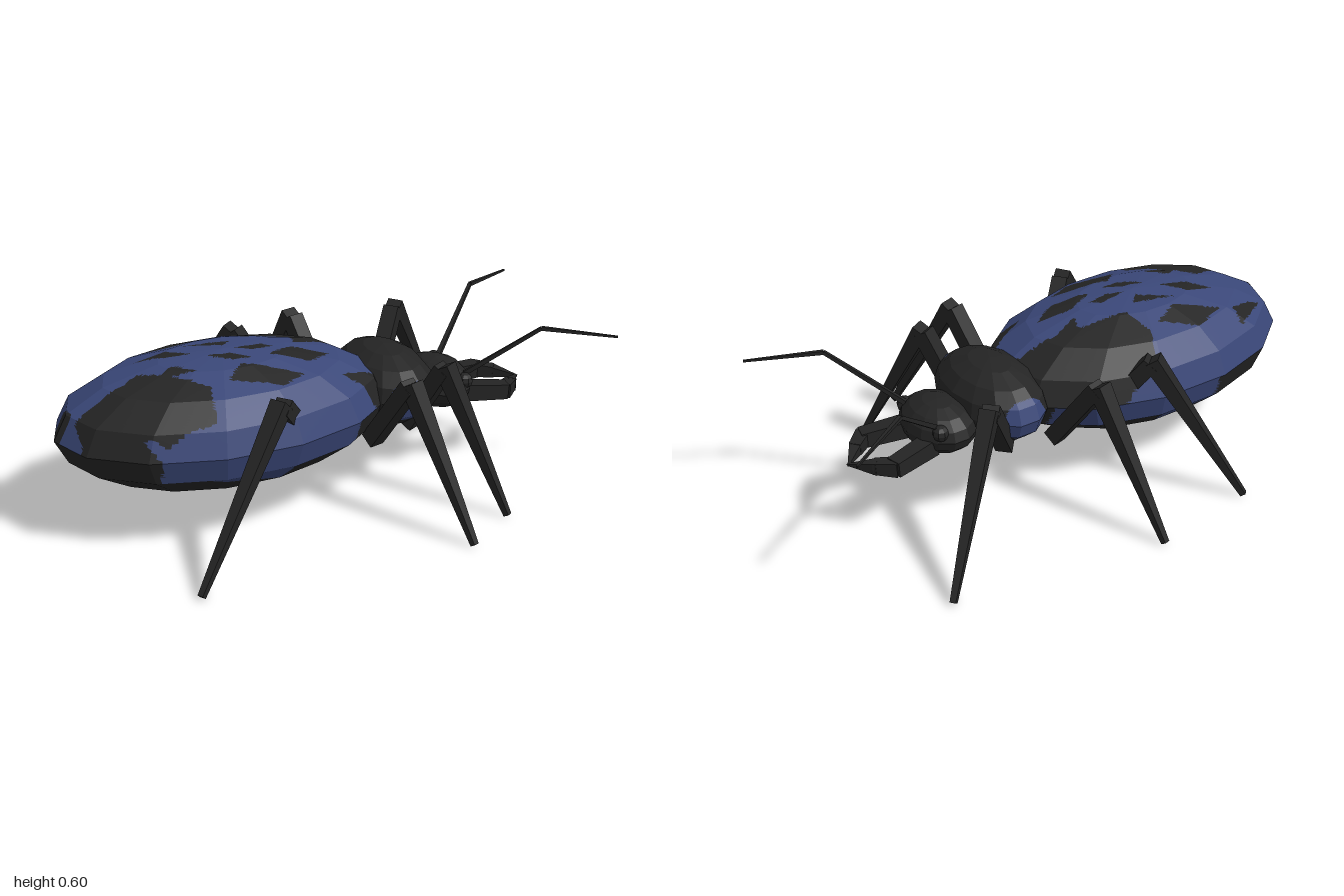
import * as THREE from 'three';

const shell = new THREE.MeshStandardMaterial({ color: 0x242424 });
shell.name = 'black shell';
const blue = new THREE.MeshStandardMaterial({ color: 0x3a4778 });
blue.name = 'dark blue';

const faceted = (geo) => {
  const g = geo.index ? geo.toNonIndexed() : geo;
  g.computeVertexNormals();
  return g;
};

const add = (parent, name, geo, material = shell) => {
  const mesh = new THREE.Mesh(geo, material);
  mesh.name = name;
  parent.add(mesh);
  return mesh;
};

const ellipsoid = (c, r, w = 14, h = 8) =>
  faceted(new THREE.SphereGeometry(1, w, h).scale(...r).translate(...c));

// Tapered straight segment between two points
function segment(a, b, ra, rb, sides = 4) {
  const p = new THREE.Vector3(...a), q = new THREE.Vector3(...b);
  const d = q.clone().sub(p);
  const g = new THREE.CylinderGeometry(rb, ra, d.length(), sides);
  if (sides === 4) g.rotateY(Math.PI / 4);
  // Keep the cross-section square to the vertical plane of the limb
  const y = d.clone().normalize();
  const x = new THREE.Vector3(0, 1, 0).cross(y).normalize();
  const z = x.clone().cross(y);
  g.applyMatrix4(new THREE.Matrix4().makeBasis(x, y, z));
  const mid = p.add(q).multiplyScalar(0.5);
  return faceted(g.translate(mid.x, mid.y, mid.z));
}

function inside(poly, u, v) {
  let hit = false;
  for (let i = 0, j = poly.length - 1; i < poly.length; j = i++) {
    const [ax, ay] = poly[i], [bx, by] = poly[j];
    if ((ay > v) !== (by > v) && u < ((bx - ax) * (v - ay)) / (by - ay) + ax) hit = !hit;
  }
  return hit;
}

// Split flat facets finely and give each piece black or blue by a rule
function paint(geo, isBlack, n = 12) {
  const src = geo.attributes.position;
  const lists = [[], []];
  const [a, b, c] = [0, 1, 2].map(() => new THREE.Vector3());
  const at = (i, j) => a.clone().multiplyScalar(1 - (i + j) / n)
    .addScaledVector(b, i / n).addScaledVector(c, j / n);
  const put = (p, q, r) => {
    const m = p.clone().add(q).add(r).divideScalar(3);
    const list = lists[isBlack(m) ? 0 : 1];
    for (const v of [p, q, r]) list.push(v.x, v.y, v.z);
  };
  for (let t = 0; t < src.count; t += 3) {
    [a, b, c].forEach((v, k) => v.fromBufferAttribute(src, t + k));
    for (let i = 0; i < n; i++) {
      for (let j = 0; j < n - i; j++) {
        put(at(i, j), at(i + 1, j), at(i, j + 1));
        if (i + j < n - 1) put(at(i + 1, j), at(i + 1, j + 1), at(i, j + 1));
      }
    }
  }
  const g = new THREE.BufferGeometry();
  g.setAttribute('position', new THREE.Float32BufferAttribute(lists[0].concat(lists[1]), 3));
  g.addGroup(0, lists[0].length / 3, 0);
  g.addGroup(lists[0].length / 3, lists[1].length / 3, 1);
  g.computeVertexNormals();
  return g;
}

// Black blotches on the back, as x, z outlines
const blotches = [
  [[-0.85, -0.17], [-0.68, -0.28], [-0.69, -0.21], [-0.8, -0.17]],
  [[-0.62, -0.21], [-0.48, -0.27], [-0.35, -0.2], [-0.45, -0.15]],
  [[-0.25, -0.32], [-0.1, -0.34], [0.1, -0.28], [0.25, -0.2], [0.25, 0], [0, -0.05],
    [-0.1, -0.02], [-0.08, -0.08], [-0.26, -0.11], [-0.29, -0.22]],
  [[-0.67, -0.1], [-0.56, -0.1], [-0.49, -0.02], [-0.58, -0.04]],
  [[-0.48, -0.11], [-0.32, -0.08], [-0.36, -0.04]],
  [[-0.46, 0.02], [-0.36, 0.04], [-0.3, 0.09], [-0.38, 0.08]],
  [[-0.34, 0], [-0.23, -0.01], [-0.2, 0.02], [-0.28, 0.03]],
  [[-0.24, 0.08], [-0.13, 0.03], [0, 0.07], [-0.1, 0.13]],
  [[-0.43, 0.19], [-0.36, 0.12], [-0.16, 0.2], [-0.25, 0.25]],
  [[-0.67, 0.09], [-0.58, 0.04], [-0.52, 0.11]],
  [[-0.94, 0.06], [-0.76, 0.04], [-0.7, 0.01], [-0.6, 0.1], [-0.5, 0.2], [-0.53, 0.32],
    [-0.7, 0.31], [-0.85, 0.22], [-0.94, 0.13]],
  [[-1.01, -0.05], [-0.94, -0.08], [-0.94, 0.03], [-1.01, 0.03]],
  [[0, 0.18], [0.1, 0.14], [0.25, 0.08], [0.25, 0.2], [0.1, 0.22]],
];
// Markings on the flanks, as x, y outlines
const flankBlack = [[-0.95, 0.36], [-0.72, 0.36], [-0.78, 0.45], [-0.92, 0.44]];
const flankBlue = [[-0.58, 0.28], [-0.28, 0.2], [-0.26, 0.28]];

function abdomenIsBlack({ x, y, z }) {
  if (y > 0.365) {
    return blotches.some((p) => inside(p, x, z)) || (z > 0 && inside(flankBlack, x, y));
  }
  if (y > 0.275) return z > 0 ? x < -0.72 || x > 0.02 : x < -0.5 || x > 0.12;
  return !inside(flankBlue, x, y);
}

export function createModel() {
  const model = new THREE.Group();
  model.name = 'beetle';

  // Body
  add(model, 'abdomen',
    paint(ellipsoid([-0.38, 0.366, 0], [0.62, 0.234, 0.39]), abdomenIsBlack), [shell, blue]);
  add(model, 'thorax',
    paint(ellipsoid([0.25, 0.37, 0], [0.17, 0.142, 0.262]),
      ({ y, z }) => Math.abs(z) < 0.215 || y < 0.29), [shell, blue]);
  add(model, 'head', ellipsoid([0.47, 0.33, 0], [0.125, 0.092, 0.168]));

  // Eyes, antennae and jaws, mirrored
  for (const s of [1, -1]) {
    const side = s > 0 ? 'near' : 'far';
    add(model, side + 'Eye', ellipsoid([0.53, 0.36, s * 0.12], [0.03, 0.03, 0.03], 8, 6));

    const antenna = new THREE.Group();
    antenna.name = side + 'Antenna';
    const elbow = [0.76, 0.578, s * 0.26];
    add(antenna, 'antennaBase', segment([0.54, 0.38, s * 0.1], elbow, 0.012, 0.009));
    add(antenna, 'antennaTip', segment(elbow, [0.998, 0.555, s * 0.4], 0.01, 0.005));
    model.add(antenna);

    const jaw = new THREE.Group();
    jaw.name = side + 'Jaw';
    add(jaw, 'jawBase', segment([0.54, 0.3, s * 0.075], [0.715, 0.288, s * 0.115], 0.046, 0.04));
    add(jaw, 'jawMiddle', segment([0.7, 0.288, s * 0.12], [0.765, 0.286, s * 0.065], 0.038, 0.03));
    add(jaw, 'jawTip', segment([0.755, 0.286, s * 0.075], [0.83, 0.28, s * -0.005], 0.032, 0.004));
    model.add(jaw);
  }

  // Legs: hip, knee, foot
  const legs = {
    farFrontLeg: [[0.3, 0.26, -0.17], [0.45, 0.51, -0.31], [0.76, 0.012, -0.55]],
    farMiddleLeg: [[0.11, 0.24, -0.2], [0.06, 0.51, -0.39], [-0.015, 0.012, -0.685]],
    farRearLeg: [[-0.07, 0.25, -0.19], [-0.2, 0.51, -0.35], [-0.43, 0.012, -0.615]],
    nearFrontLeg: [[0.27, 0.26, 0.17], [0.34, 0.51, 0.3], [0.48, 0.012, 0.54]],
    nearMiddleLeg: [[0.11, 0.24, 0.2], [0.16, 0.51, 0.39], [0.265, 0.012, 0.68]],
    nearRearLeg: [[-0.12, 0.25, 0.2], [-0.31, 0.51, 0.355], [-0.71, 0.012, 0.607]],
  };
  for (const [name, [hip, knee, foot]] of Object.entries(legs)) {
    const leg = new THREE.Group();
    leg.name = name;
    add(leg, 'thigh', segment(hip, knee, 0.042, 0.042));
    add(leg, 'shin', segment([knee[0], knee[1] + 0.01, knee[2]], foot, 0.042, 0.015));
    model.add(leg);
  }
  return model;
}
